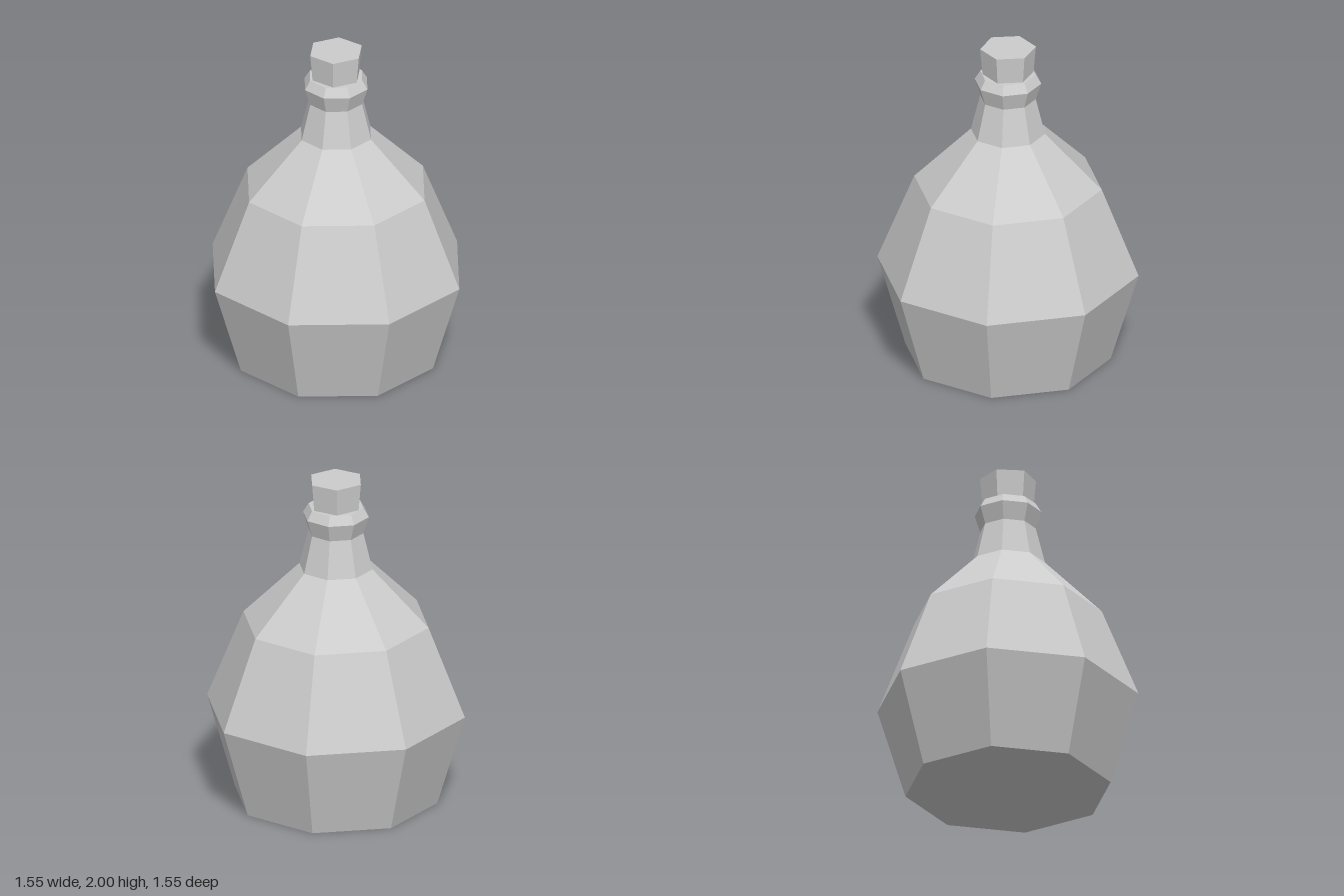
import * as THREE from 'three';

export function createModel() {
  const group = new THREE.Group();
  const grey = new THREE.MeshStandardMaterial({ color: 0xcccccc, flatShading: true });
  grey.name = 'light grey';

  function add(name, geometry) {
    const mesh = new THREE.Mesh(geometry, grey);
    mesh.name = name;
    group.add(mesh);
    return mesh;
  }

  // Eight-sided bottle: base, belly, shoulder, neck and flared lip
  const profile = [
    [0, 0], [0.61, 0], [0.776, 0.56], [0.557, 1.11], [0.22, 1.45],
    [0.165, 1.675], [0.198, 1.78], [0.165, 1.835], [0, 1.835],
  ].map(([r, y]) => new THREE.Vector2(r, y));
  add('bottle', new THREE.LatheGeometry(profile, 8));

  // Six-sided stopper, slightly wider at the top, corners on the x axis
  const bottom = 1.83, top = 2;
  const stopper = add('stopper',
    new THREE.CylinderGeometry(0.165, 0.15, top - bottom, 6, 1, false, Math.PI / 2));
  stopper.position.y = (top + bottom) / 2;

  return group;
}
